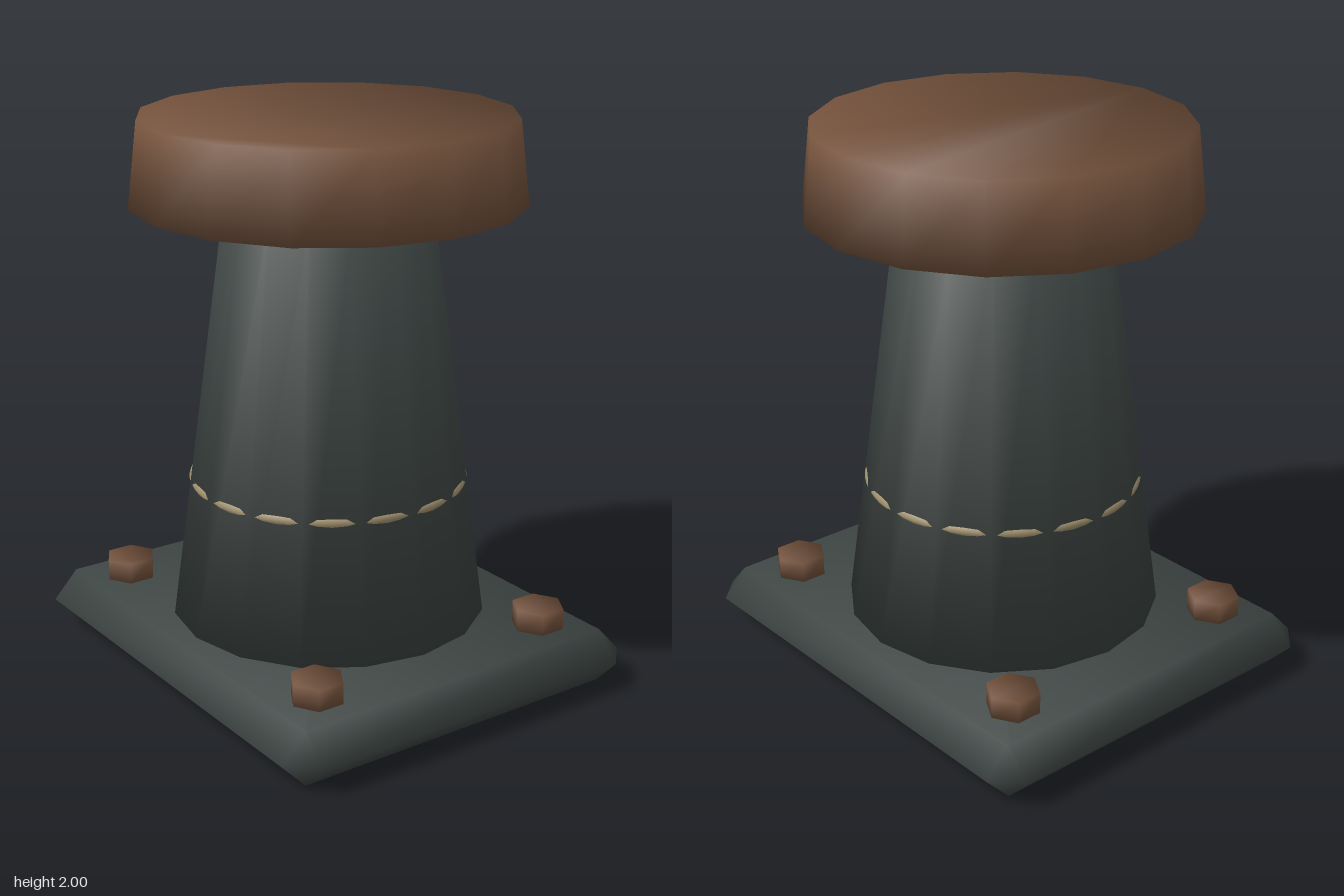
import * as THREE from 'three';
import { mergeVertices } from 'three/addons/utils/BufferGeometryUtils.js';

const iron = new THREE.MeshStandardMaterial({ color: 0x3d4543 });
const rust = new THREE.MeshStandardMaterial({ color: 0x74523c });
const brass = new THREE.MeshStandardMaterial({ color: 0xa0906e });

// Shared vertex normals, each triangle weighted by its corner angle
function smoothNormals(geometry) {
  const pos = geometry.attributes.position;
  const index = geometry.index.array;
  const sums = Array.from({ length: pos.count }, () => new THREE.Vector3());
  for (let t = 0; t < index.length; t += 3) {
    const ids = [index[t], index[t + 1], index[t + 2]];
    const p = ids.map((i) => new THREE.Vector3().fromBufferAttribute(pos, i));
    const normal = new THREE.Triangle(...p).getNormal(new THREE.Vector3());
    if (normal.lengthSq() === 0) continue;
    ids.forEach((id, k) => {
      const u = p[(k + 1) % 3].clone().sub(p[k]);
      const v = p[(k + 2) % 3].clone().sub(p[k]);
      sums[id].addScaledVector(normal, u.angleTo(v));
    });
  }
  const normals = sums.flatMap((n) => n.normalize().toArray());
  geometry.setAttribute('normal', new THREE.Float32BufferAttribute(normals, 3));
  return geometry;
}

// Closed solid through stacked rings of [x, y, z], ordered bottom to top
function loft(rings) {
  const n = rings[0].length;
  const last = (rings.length - 1) * n;
  const faces = [];
  for (let r = 0; r < last; r += n) {
    for (let i = 0; i < n; i++) {
      const j = (i + 1) % n;
      faces.push(r + i, r + j, r + n + j, r + i, r + n + j, r + n + i);
    }
  }
  for (let i = 1; i < n - 1; i++) {
    faces.push(0, i + 1, i, last, last + i, last + i + 1);
  }
  const geometry = new THREE.BufferGeometry();
  geometry.setAttribute('position', new THREE.Float32BufferAttribute(rings.flat(2), 3));
  geometry.setIndex(faces);
  return smoothNormals(mergeVertices(geometry));
}

function circle(radius, y, sides) {
  return Array.from({ length: sides }, (_, i) => {
    const a = (i / sides) * Math.PI * 2;
    return [Math.sin(a) * radius, y, Math.cos(a) * radius];
  });
}

const frustum = (r0, y0, r1, y1, sides) => loft([circle(r0, y0, sides), circle(r1, y1, sides)]);

// Rectangle hx by hz, each side pushed outward by the bevel
function plateRing(hx, hz, bevel, y) {
  const X = hx + bevel, Z = hz + bevel;
  return [
    [hx, y, Z], [X, y, hz], [X, y, -hz], [hx, y, -Z],
    [-hx, y, -Z], [-X, y, -hz], [-X, y, hz], [-hx, y, Z],
  ];
}

export function createModel() {
  const model = new THREE.Group();
  model.name = 'mooringBollard';
  const add = (name, geometry, material) => {
    const mesh = new THREE.Mesh(geometry, material);
    mesh.name = name;
    model.add(mesh);
    return mesh;
  };

  // Base plate, bevelled to a sharp edge at mid height
  const hx = 0.77, hz = 0.635, bevel = 0.095;
  add('basePlate', loft([
    plateRing(hx, hz, 0, 0),
    plateRing(hx, hz, bevel, 0.1),
    plateRing(hx, hz, 0, 0.2),
  ]), iron);

  // Tapered post and wider cap
  add('post', frustum(0.57, 0.2, 0.365, 1.7, 16), iron);
  add('cap', frustum(0.69, 1.7, 0.655, 2, 16), rust);

  // Thin band that only breaks through the middle of each post facet
  const band = add('band', new THREE.TorusGeometry(0.478, 0.021, 8, 64), brass);
  band.rotation.x = Math.PI / 2;
  band.position.y = 0.7;

  // Hexagonal bolt heads at the plate corners
  const boltGeometry = frustum(0.095, 0.2, 0.095, 0.277, 6);
  for (const [side, sx] of [['left', 1], ['right', -1]]) {
    for (const [end, sz] of [['Front', 1], ['Back', -1]]) {
      add(`${side}${end}Bolt`, boltGeometry, rust).position.set(sx * 0.615, 0, sz * 0.482);
    }
  }
  return model;
}
